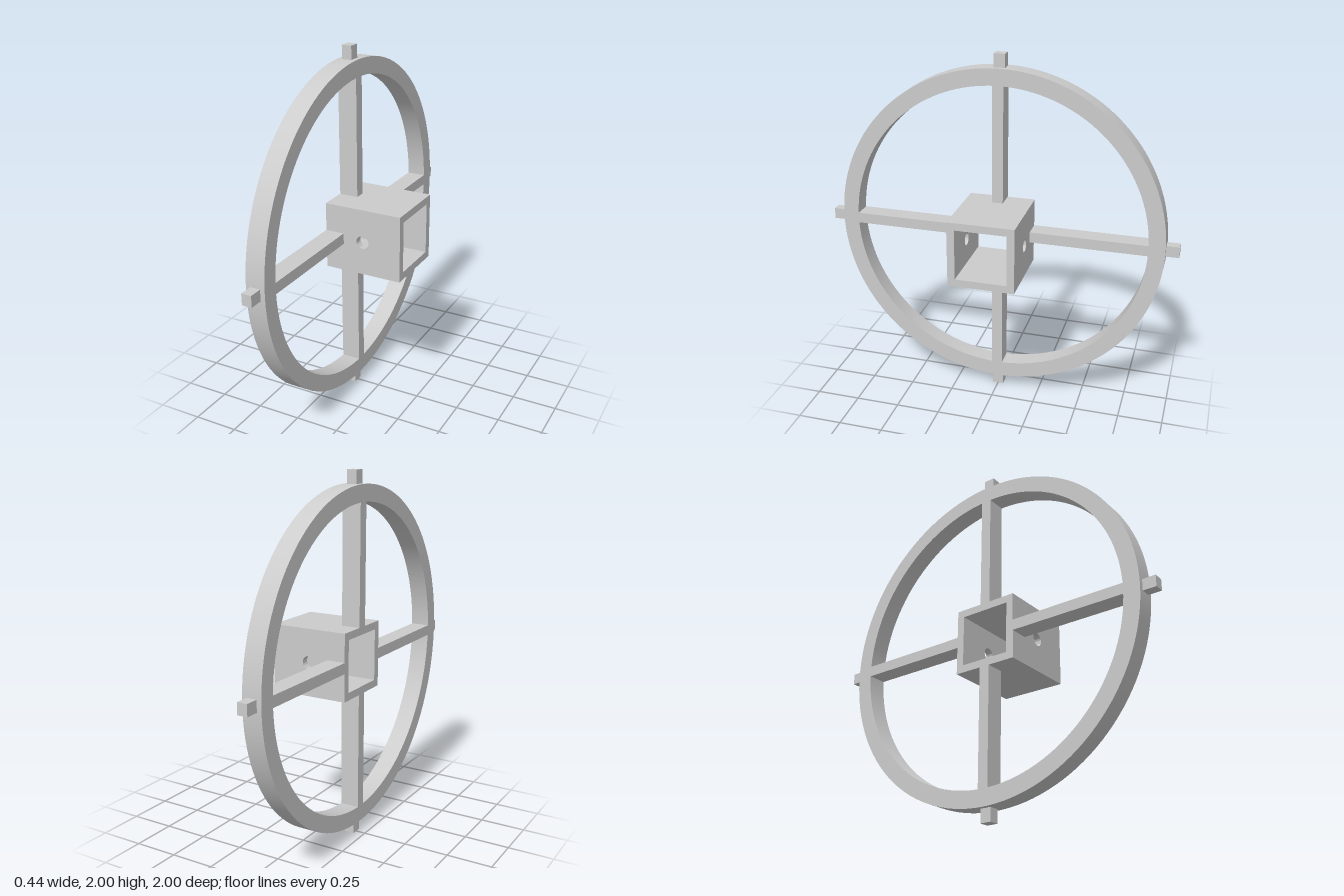
import * as THREE from 'three';
import { toCreasedNormals } from 'three/addons/utils/BufferGeometryUtils.js';

const material = new THREE.MeshStandardMaterial({ color: 0xcccccc });

export function createModel() {
  const model = new THREE.Group();
  model.name = 'spokedWheel';
  model.position.y = 1; // wheel axis height

  const add = (parent, name, geometry, x = 0, y = 0, z = 0) => {
    const mesh = new THREE.Mesh(geometry, material);
    mesh.name = name;
    mesh.position.set(x, y, z);
    parent.add(mesh);
    return mesh;
  };

  const ringX = -0.167, ringWidth = 0.106;
  const outerR = 0.928, innerR = 0.837;
  const hubHalf = 0.185, boreHalf = 0.143, hubLength = 0.44;
  const wall = hubHalf - boreHalf;

  // Rim: a rectangular section turned about the x axis
  const h = ringWidth / 2;
  const section = [[innerR, -h], [outerR, -h], [outerR, h], [innerR, h], [innerR, -h]]
    .map(([r, y]) => new THREE.Vector2(r, y));
  const rim = toCreasedNormals(new THREE.LatheGeometry(section, 128), 0.5);
  rim.rotateZ(-Math.PI / 2);
  add(model, 'rim', rim, ringX);

  // Four spokes, each with a narrower peg outside the rim
  for (let i = 0; i < 4; i++) {
    const arm = new THREE.Group();
    arm.name = 'arm' + (i + 1);
    arm.rotation.x = i * Math.PI / 2;
    model.add(arm);
    const spokeLength = innerR - hubHalf;
    add(arm, 'spoke', new THREE.BoxGeometry(ringWidth, spokeLength, 0.06),
      ringX, hubHalf + spokeLength / 2);
    const pegBase = outerR - 0.003;
    add(arm, 'peg', new THREE.BoxGeometry(0.055, 1 - pegBase, 0.062),
      ringX, (1 + pegBase) / 2);
  }

  // Square hub sleeve, open at both ends
  const hub = new THREE.Group();
  hub.name = 'hub';
  model.add(hub);
  const l = hubLength / 2;
  const side = new THREE.Shape([
    new THREE.Vector2(-l, -hubHalf), new THREE.Vector2(l, -hubHalf),
    new THREE.Vector2(l, hubHalf), new THREE.Vector2(-l, hubHalf),
  ]);
  side.holes.push(new THREE.Path().absarc(0, 0, 0.036, 0, Math.PI * 2, true));
  const sidePlate = toCreasedNormals(
    new THREE.ExtrudeGeometry(side, { depth: wall, bevelEnabled: false, curveSegments: 32 }), 0.5);
  const cap = new THREE.BoxGeometry(hubLength, wall, boreHalf * 2);
  // Pinned side walls, then the plain top and bottom walls
  add(hub, 'frontWall', sidePlate, 0, 0, boreHalf);
  add(hub, 'backWall', sidePlate, 0, 0, -hubHalf);
  for (const s of [1, -1]) {
    add(hub, s > 0 ? 'topWall' : 'bottomWall', cap, 0, s * (boreHalf + wall / 2));
  }

  const root = new THREE.Group();
  root.add(model);
  return root;
}
